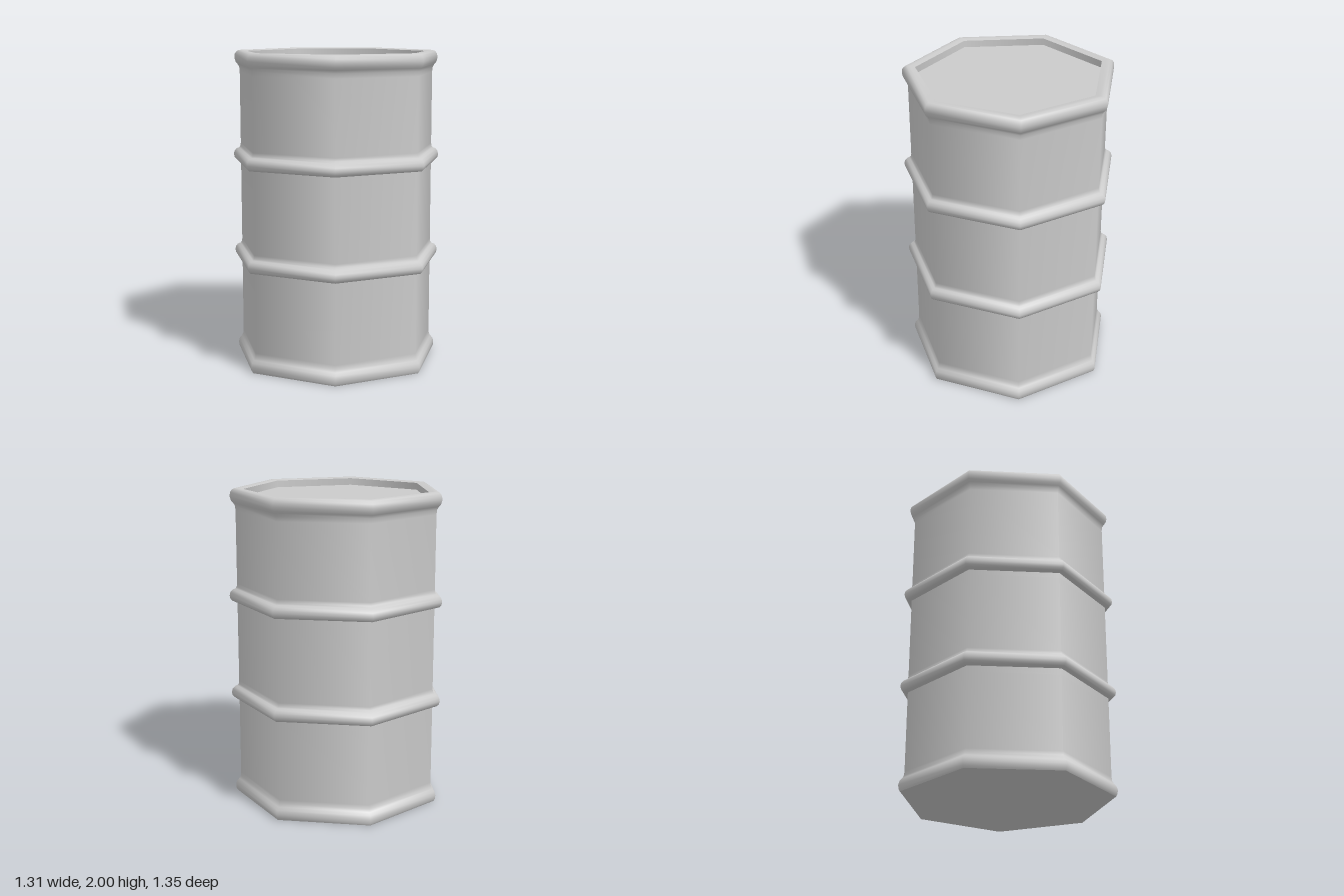
import * as THREE from 'three';

const SIDES = 7;
const BODY = 0.642, RIB = 0.691, RIM = 0.677, LID = 0.592;
const LID_Y = 1.95;

const material = new THREE.MeshStandardMaterial({ color: 0xcccccc });

function add(group, name, geometry) {
  const mesh = new THREE.Mesh(geometry, material);
  mesh.name = name;
  group.add(mesh);
  return mesh;
}

// Seven-sided turned surface with one corner pointing to +x
function turned(points) {
  const profile = points.map(([r, y]) => new THREE.Vector2(r, y));
  return new THREE.LatheGeometry(profile, SIDES, Math.PI / 2);
}

export function createModel() {
  const group = new THREE.Group();
  group.name = 'barrel';

  // Rounded hoop: sharp underside at y, soft fillet into the wall above
  const hoop = (y) => [
    [BODY, y], [0.672, y + 0.004], [0.686, y + 0.018], [RIB, y + 0.038],
    [0.686, y + 0.06], [0.672, y + 0.077], [0.654, y + 0.084],
    [0.645, y + 0.095], [BODY, y + 0.115],
  ];

  // Lower wall with flared foot
  add(group, 'lowerWall', turned([
    [0.665, 0], [0.674, 0.015], [RIM, 0.04], [0.67, 0.065], [0.655, 0.082],
    [0.645, 0.1], [BODY, 0.125], [BODY, 0.6], [BODY, 0.64],
  ]));

  // Middle and upper walls, each starting with a hoop
  add(group, 'middleWall', turned([...hoop(0.64), [BODY, 1.25], [BODY, 1.281]]));
  add(group, 'upperWall', turned([
    ...hoop(1.281), [BODY, 1.86], [0.645, 1.89], [0.656, 1.909],
    [0.67, 1.925], [RIM, 1.95], [0.674, 1.975], [0.662, 1.992],
    [0.645, 2], [0.622, 1.999], [LID, 1.994],
  ]));

  // Recessed lid
  add(group, 'rimInnerWall', turned([[LID, 1.994], [LID, LID_Y]]));
  const lid = add(group, 'lid', new THREE.CircleGeometry(LID, SIDES));
  lid.rotation.x = -Math.PI / 2;
  lid.position.y = LID_Y;

  // Flat base
  const base = add(group, 'base', new THREE.CircleGeometry(0.665, SIDES));
  base.rotation.x = Math.PI / 2;

  // Centre the odd-sided outline on its bounds
  group.children.forEach((part) => { part.position.x = -0.035; });
  return group;
}
